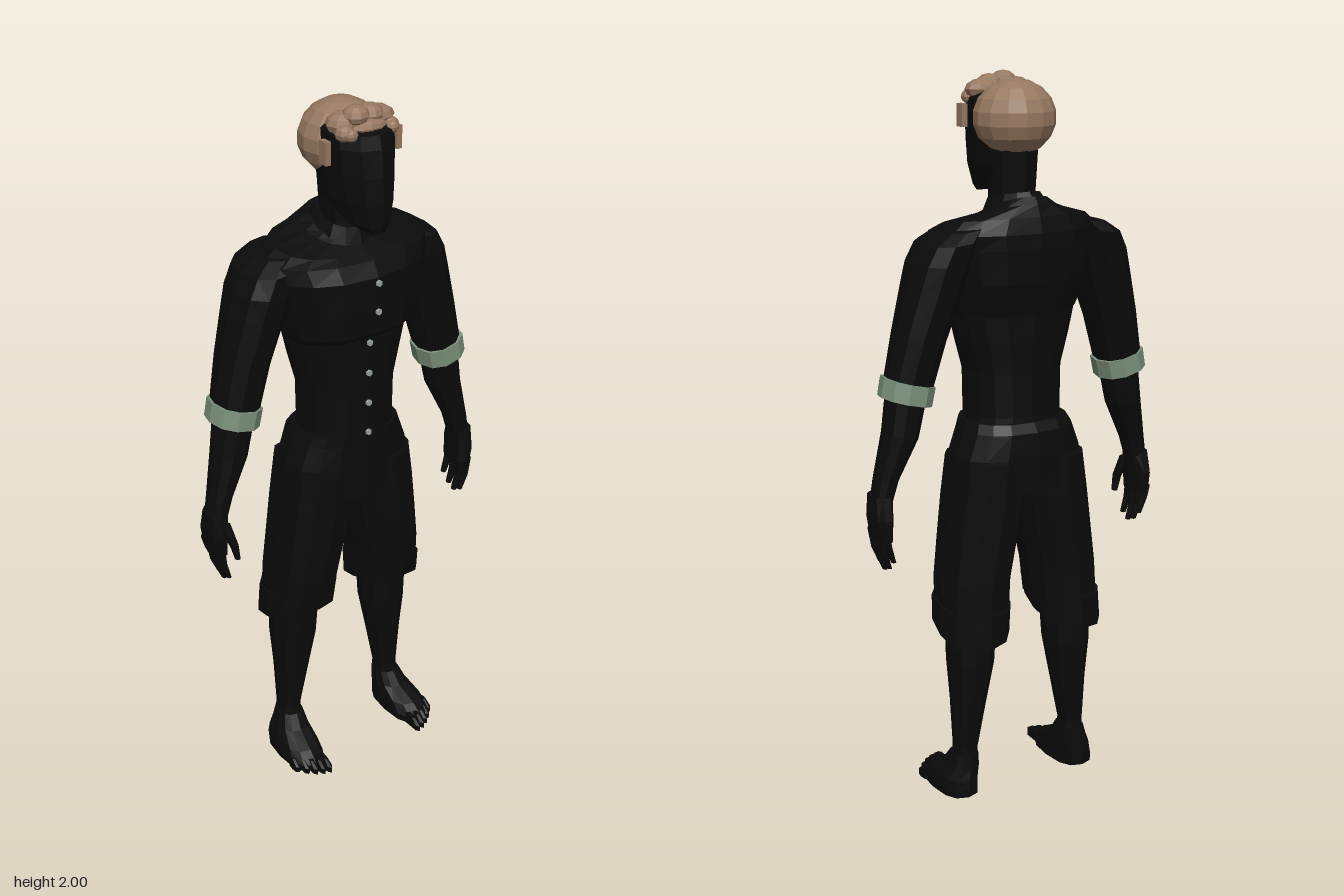
import * as THREE from 'three';

// Closed loft through horizontal rings, listed bottom to top.
// Ring: [y, x0, x1, z0, z1, slope of y along x, slope of y along z]
function loft(rings, { sides = 12, power = 2.3, side = 1 } = {}) {
  const bend = (v) => Math.sign(v) * Math.abs(v) ** (2 / power);
  const pos = [];
  const index = [];
  const tri = (a, b, c) => (side > 0 ? index.push(a, b, c) : index.push(a, c, b));
  rings.forEach(([y, x0, x1, z0, z1, tx = 0, tz = 0]) => {
    for (let j = 0; j < sides; j++) {
      const a = (j / sides) * Math.PI * 2;
      const dx = (bend(Math.cos(a)) * (x1 - x0)) / 2;
      const dz = (bend(Math.sin(a)) * (z1 - z0)) / 2;
      pos.push(side * ((x0 + x1) / 2 + dx), y + tx * dx + tz * dz, (z0 + z1) / 2 + dz);
    }
  });
  for (let i = 0; i < rings.length - 1; i++) {
    for (let j = 0; j < sides; j++) {
      const a = i * sides + j;
      const b = i * sides + ((j + 1) % sides);
      tri(a, a + sides, b);
      tri(b, a + sides, b + sides);
    }
  }
  const last = (rings.length - 1) * sides;
  for (let j = 1; j < sides - 1; j++) {
    tri(0, j, j + 1);
    tri(last, last + j + 1, last + j);
  }
  const g = new THREE.BufferGeometry();
  g.setAttribute('position', new THREE.Float32BufferAttribute(pos, 3));
  g.setIndex(index);
  const flat = g.toNonIndexed();
  flat.computeVertexNormals();
  return flat;
}

// Ring symmetric about x = 0
const mid = (y, w, z0, z1, tz = 0) => [y, -w, w, z0, z1, 0, tz];

function flatten(geometry) {
  const g = geometry.index ? geometry.toNonIndexed() : geometry;
  g.computeVertexNormals();
  return g;
}

export function createModel() {
  const model = new THREE.Group();
  model.name = 'figure';
  const material = (name, color) => {
    const m = new THREE.MeshStandardMaterial({ color });
    m.name = name;
    return m;
  };
  const black = material('nearBlack', 0x0b0b0b);
  const brown = material('hairBrown', 0x977860);
  const green = material('cuffGreen', 0x7b917b);
  const grey = material('buttonGrey', 0x98a49c);

  const add = (name, geometry, mat = black, parent = model) => {
    const mesh = new THREE.Mesh(geometry, mat);
    mesh.name = name;
    parent.add(mesh);
    return mesh;
  };

  // Shirt body, chest and collar
  add('waist', loft([
    mid(1.04, 0.14, -0.125, 0.106), mid(1.1, 0.135, -0.12, 0.106), mid(1.22, 0.137, -0.12, 0.106),
    mid(1.31, 0.163, -0.123, 0.108), mid(1.42, 0.19, -0.125, 0.11),
  ], { sides: 16 }));
  add('chest', loft([
    mid(1.38, 0.185, -0.128, 0.122), mid(1.4, 0.196, -0.134, 0.141), mid(1.47, 0.212, -0.158, 0.147),
    mid(1.56, 0.23, -0.164, 0.147), mid(1.6, 0.24, -0.163, 0.125), mid(1.627, 0.2, -0.152, 0.1, -0.12),
    mid(1.65, 0.1, -0.14, 0.07, -0.22), mid(1.665, 0.07, -0.125, 0.055, -0.3),
  ], { sides: 16 }));
  add('collar', loft([
    mid(1.64, 0.085, -0.125, 0.075, -0.28), mid(1.685, 0.062, -0.1, 0.06, -0.2),
  ], { sides: 12 }));

  // Shirt buttons
  const buttons = new THREE.Group();
  buttons.name = 'buttons';
  model.add(buttons);
  [[1.545, 0.147], [1.465, 0.147], [1.36, 0.109], [1.27, 0.107], [1.18, 0.106], [1.09, 0.106]].forEach(([y, z]) => {
    const b = add('button', flatten(new THREE.CylinderGeometry(0.009, 0.009, 0.012, 6)), grey, buttons);
    b.rotation.x = Math.PI / 2;
    b.position.set(0, y, z);
  });

  // Head and neck
  add('neck', loft([mid(1.6, 0.065, -0.08, 0.06), mid(1.68, 0.058, -0.075, 0.058), mid(1.8, 0.062, -0.085, 0.06)]));
  add('head', loft([
    mid(1.69, 0.035, 0.0, 0.155, -0.15), mid(1.71, 0.055, -0.03, 0.16, -0.15), mid(1.76, 0.078, -0.07, 0.164),
    mid(1.83, 0.088, -0.09, 0.162), mid(1.9, 0.094, -0.09, 0.154), mid(1.935, 0.09, -0.085, 0.145),
    mid(1.955, 0.06, -0.06, 0.08),
  ], { power: 2.1 }));

  // Hair: cap, side pieces and front curls
  const hair = new THREE.Group();
  hair.name = 'hair';
  model.add(hair);
  const cap = add('hairCap', flatten(new THREE.SphereGeometry(0.112, 14, 9)), brown, hair);
  cap.scale.set(1, 0.9, 0.95);
  cap.position.set(0, 1.886, -0.024);
  for (const s of [1, -1]) {
    add('sideLock', flatten(new THREE.BoxGeometry(0.016, 0.06, 0.03)), brown, hair).position.set(s * 0.107, 1.89, 0.066);
  }
  [
    [-0.055, 1.955, 0.065, 0.045, 0.03, 0.04], [0.045, 1.955, 0.065, 0.05, 0.028, 0.038],
    [-0.03, 1.975, 0.085, 0.036, 0.026, 0.034], [0.02, 1.968, 0.075, 0.034, 0.026, 0.036],
    [-0.07, 1.94, 0.095, 0.026, 0.022, 0.026], [0.068, 1.935, 0.09, 0.025, 0.02, 0.026],
    [-0.062, 1.937, 0.115, 0.018, 0.016, 0.014], [0.06, 1.937, 0.115, 0.018, 0.016, 0.014],
    [0, 1.945, 0.1, 0.05, 0.02, 0.026],
  ].forEach(([x, y, z, a, b, c]) => {
    const curl = add('curl', flatten(new THREE.SphereGeometry(1, 9, 6)), brown, hair);
    curl.scale.set(a, b, c);
    curl.position.set(x, y, z);
  });

  // Breeches seat
  add('breechesSeat', loft([
    mid(0.89, 0.195, -0.147, 0.104), mid(0.99, 0.185, -0.148, 0.106), mid(1.06, 0.158, -0.145, 0.106),
    mid(1.085, 0.146, -0.128, 0.108),
  ], { sides: 16, power: 2.6 }));

  // Limbs, mirrored
  for (const side of [1, -1]) {
    const label = side > 0 ? 'left' : 'right';
    const limb = (name, rings, mat = black, sides = 10, power = 2.3) =>
      add(label + name, loft(rings, { sides, power, side }), mat);

    // Arm
    limb('Sleeve', [
      [1.2, 0.275, 0.395, -0.1, 0.035, 0.25], [1.34, 0.235, 0.366, -0.118, 0.042, 0.2],
      [1.46, 0.19, 0.336, -0.136, 0.055, 0.1], [1.53, 0.17, 0.318, -0.146, 0.062, 0],
      [1.585, 0.15, 0.292, -0.15, 0.058, -0.1], [1.615, 0.13, 0.245, -0.135, 0.03, -0.12],
    ]);
    limb('Cuff', [
      [1.17, 0.274, 0.41, -0.106, 0.042, 0.25], [1.222, 0.262, 0.4, -0.106, 0.042, 0.25],
    ], green);
    limb('Forearm', [
      [0.9, 0.385, 0.438, -0.058, 0.018], [0.96, 0.366, 0.428, -0.062, 0.02], [1.08, 0.312, 0.402, -0.085, 0.025, 0.2],
      [1.21, 0.282, 0.385, -0.09, 0.028, 0.25],
    ]);

    // Hand with thumb and four curled fingers
    limb('Palm', [
      [0.8, 0.393, 0.436, -0.075, 0.028], [0.86, 0.39, 0.444, -0.078, 0.035], [0.92, 0.384, 0.442, -0.06, 0.025],
    ]);
    [[-0.062, 0.74], [-0.036, 0.715], [-0.01, 0.705], [0.016, 0.72]].forEach(([z, tip]) => limb('Finger', [
      [tip, 0.392, 0.406, z - 0.009, z + 0.009], [tip + 0.045, 0.403, 0.426, z - 0.012, z + 0.012],
      [0.82, 0.407, 0.436, z - 0.013, z + 0.013],
    ], black, 6));
    limb('Thumb', [
      [0.785, 0.373, 0.389, 0.026, 0.046], [0.83, 0.377, 0.402, 0.022, 0.05], [0.89, 0.388, 0.425, -0.005, 0.036],
    ], black, 6);

    // Breeches leg with turned hem
    limb('BreechesLeg', [
      [0.54, 0.053, 0.238, -0.143, 0.078], [0.64, 0.046, 0.233, -0.143, 0.09], [0.76, 0.022, 0.218, -0.145, 0.098],
      [0.87, 0.001, 0.204, -0.147, 0.103], [0.98, 0, 0.187, -0.147, 0.104],
    ], black, 12, 2.6);
    limb('Hem', [
      [0.498, 0.055, 0.248, -0.15, 0.072, -0.1, 0.33], [0.575, 0.048, 0.243, -0.149, 0.086, -0.06, 0.15],
    ], black, 12, 2.6);

    // Lower leg and foot
    limb('LowerLeg', [
      [0.08, 0.143, 0.213, -0.088, 0.0], [0.14, 0.144, 0.21, -0.084, -0.01], [0.28, 0.118, 0.214, -0.1, 0.008],
      [0.4, 0.096, 0.221, -0.118, 0.026], [0.56, 0.085, 0.222, -0.12, 0.035],
    ]);
    limb('Foot', [
      [0, 0.135, 0.25, -0.095, 0.125], [0.022, 0.135, 0.252, -0.096, 0.128], [0.05, 0.136, 0.245, -0.094, 0.092],
      [0.08, 0.138, 0.228, -0.09, 0.03], [0.12, 0.143, 0.213, -0.087, 0],
    ], black, 12, 2.6);
    for (let i = 0; i < 5; i++) {
      const x = 0.163 + i * 0.0195;
      const tip = 0.164 - i * i * 0.0028 - i * 0.003;
      limb('Toe', [
        [0, x - 0.01, x + 0.01, 0.06, tip], [0.018, x - 0.01, x + 0.01, 0.06, tip],
        [0.034, x - 0.007, x + 0.007, 0.06, tip - 0.025],
      ], black, 8, 3);
    }
  }
  return model;
}
